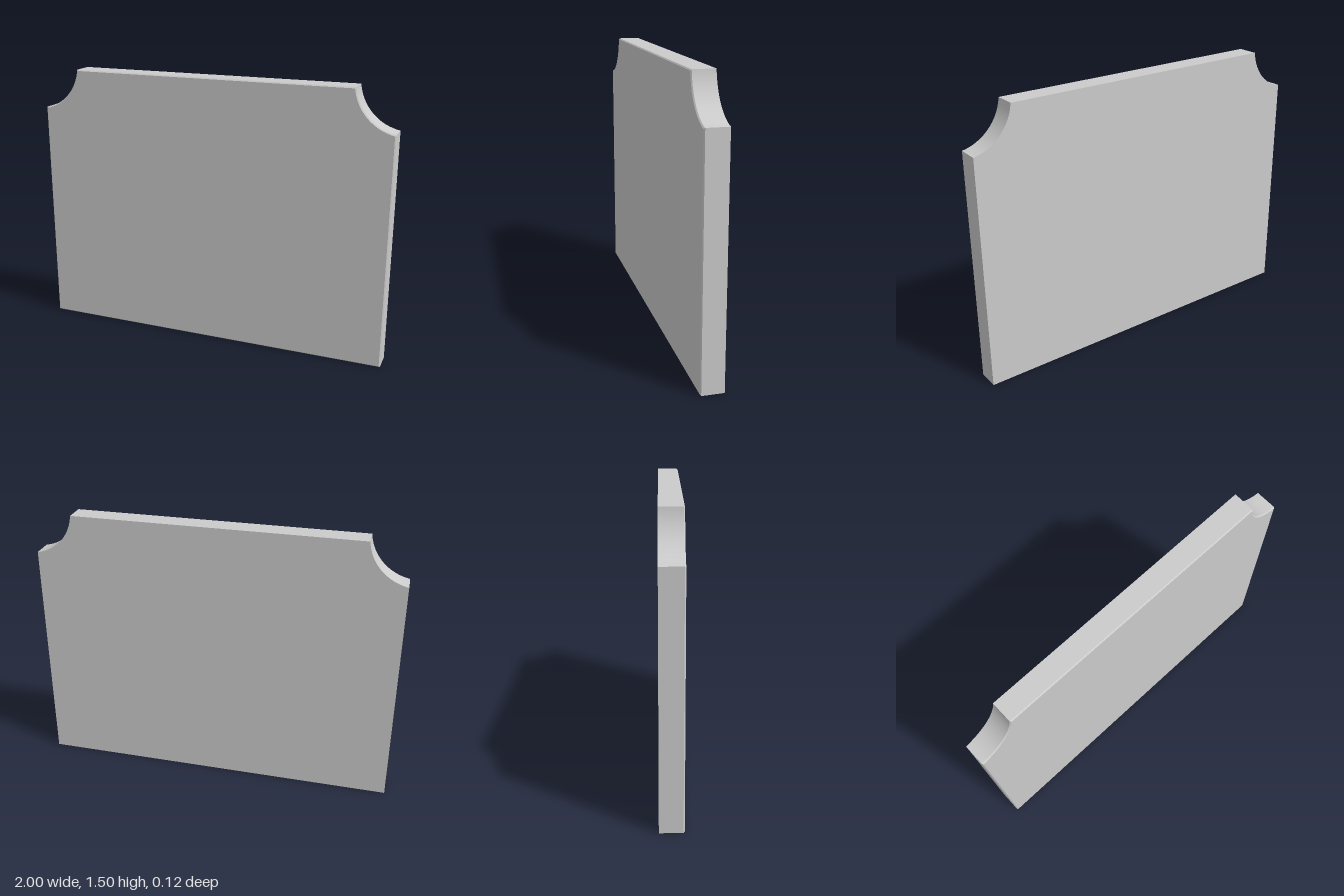
import * as THREE from 'three';
import { toCreasedNormals } from 'three/addons/utils/BufferGeometryUtils.js';

const ARC_STEPS = 24;

// Panel outline, counter-clockwise, pulled inwards by d
function outline(d) {
  const w = 1 - d, h = 1.5 - d, r = 0.258 + d, cx = 1.045, cy = 1.53;
  // scooped corner: from the side edge up to the top edge
  const a0 = Math.atan2(-Math.sqrt(r * r - (w - cx) ** 2), w - cx) + 2 * Math.PI;
  const a1 = Math.atan2(h - cy, -Math.sqrt(r * r - (h - cy) ** 2)) + 2 * Math.PI;
  const scoop = [];
  for (let i = 0; i <= ARC_STEPS; i++) {
    const a = a0 + (a1 - a0) * i / ARC_STEPS;
    scoop.push(new THREE.Vector2(cx + r * Math.cos(a), cy + r * Math.sin(a)));
  }
  const mirrored = scoop.map(p => new THREE.Vector2(-p.x, p.y)).reverse();
  return [new THREE.Vector2(-w, d), new THREE.Vector2(w, d), ...scoop, ...mirrored];
}

export function createModel() {
  const bevel = 0.006;
  // cross-sections from back to front, the last forming a fine front bevel
  const sections = [
    { pts: outline(0), z: -0.061 },
    { pts: outline(0), z: 0.061 - bevel },
    { pts: outline(bevel), z: 0.061 },
  ];
  const n = sections[0].pts.length;
  const pos = [], index = [];
  for (const { pts, z } of sections) for (const p of pts) pos.push(p.x, p.y, z);

  // edge walls
  for (let s = 0; s < 2; s++) {
    for (let i = 0; i < n; i++) {
      const a = s * n + i, b = s * n + (i + 1) % n;
      index.push(a, b, b + n, a, b + n, a + n);
    }
  }
  // back and front faces
  for (const [a, b, c] of THREE.ShapeUtils.triangulateShape(sections[0].pts, [])) index.push(a, c, b);
  for (const t of THREE.ShapeUtils.triangulateShape(sections[2].pts, [])) index.push(...t.map(i => i + 2 * n));

  const geometry = new THREE.BufferGeometry();
  geometry.setAttribute('position', new THREE.Float32BufferAttribute(pos, 3));
  geometry.setIndex(index);

  const panel = new THREE.Mesh(
    toCreasedNormals(geometry, Math.PI / 6),
    new THREE.MeshStandardMaterial({ color: 0xcccccc }));
  panel.name = 'scoopedCornerPanel';

  const group = new THREE.Group();
  group.name = 'panel';
  group.add(panel);
  return group;
}
